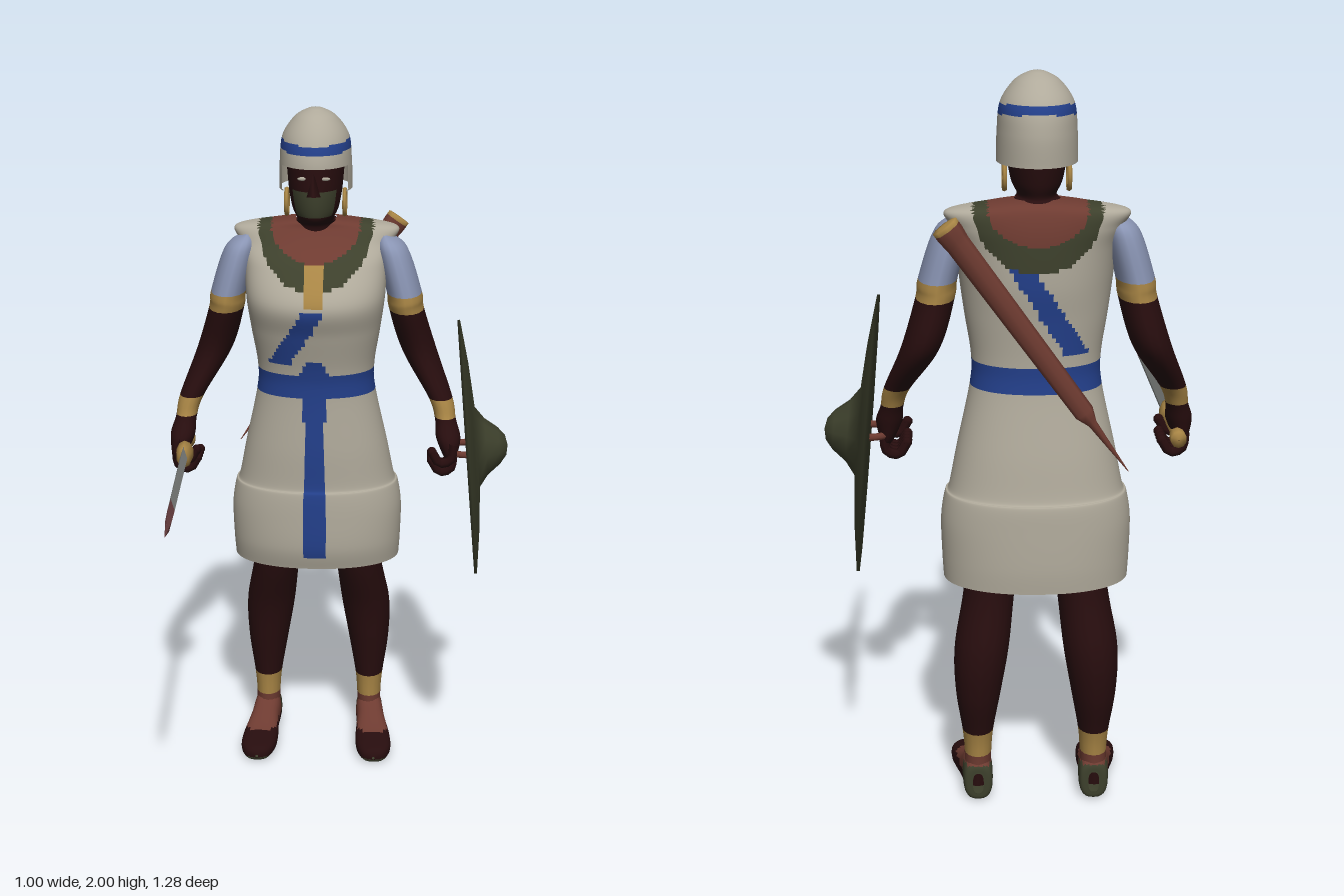
import * as THREE from 'three';

const mat = (name, color, side = THREE.FrontSide) => {
  const m = new THREE.MeshStandardMaterial({ color, side });
  m.name = name;
  return m;
};

// Smooth interpolation between neighbouring cross-sections
const blend = (a, b, c, d, t) =>
  0.5 * (2 * b + (c - a) * t + (2 * a - 5 * b + 4 * c - d) * t * t + (3 * b - a - 3 * c + d) * t * t * t);
const sp = (v, p) => Math.sign(v) * Math.abs(v) ** p;

// Loft of oval rings, rows are [y, cx, cz, rx, rz]; paint(x, y, z) picks a material, null leaves a hole
function loft(name, rows, paint, { seg = 32, sub = 8, pow = 1, linear = false } = {}) {
  const pos = [], buckets = new Map(), n = (rows.length - 1) * sub;
  const at = (i) => rows[Math.min(Math.max(i, 0), rows.length - 1)];
  for (let i = 0; i <= n; i++) {
    const k = Math.min(Math.floor(i / sub), rows.length - 2), t = i / sub - k;
    const [y, cx, cz, rx, rz] = at(k).map((v, c) =>
      linear ? v + (at(k + 1)[c] - v) * t : blend(at(k - 1)[c], v, at(k + 1)[c], at(k + 2)[c], t));
    for (let j = 0; j < seg; j++) {
      const a = (j / seg) * Math.PI * 2;
      pos.push(cx + rx * sp(Math.sin(a), pow), y, cz + rz * sp(Math.cos(a), pow));
    }
  }
  for (let i = 0; i < n; i++) for (let j = 0; j < seg; j++) {
    const a = i * seg + j, b = i * seg + (j + 1) % seg, c = b + seg, d = a + seg;
    const mid = [0, 1, 2].map((q) => (pos[a * 3 + q] + pos[b * 3 + q] + pos[c * 3 + q] + pos[d * 3 + q]) / 4);
    const m = paint(...mid);
    if (!m) continue;
    if (!buckets.has(m)) buckets.set(m, []);
    buckets.get(m).push(a, b, c, a, c, d);
  }
  const g = new THREE.BufferGeometry(), index = [], mats = [...buckets.keys()];
  mats.forEach((m, i) => {
    g.addGroup(index.length, buckets.get(m).length, i);
    index.push(...buckets.get(m));
  });
  g.setAttribute('position', new THREE.Float32BufferAttribute(pos, 3));
  g.setIndex(index);
  g.computeVertexNormals();
  const mesh = new THREE.Mesh(g, mats);
  mesh.name = name;
  return mesh;
}

export function createModel() {
  const D = THREE.DoubleSide;
  const cream = mat('cream cloth', 0xb0aa9b, D), blue = mat('blue cloth', 0x233f8a, D);
  const green = mat('olive green', 0x3d402c, D), skin = mat('dark skin', 0x270d0e);
  const brown = mat('red brown leather', 0x6e3b31), gold = mat('gold', 0xa88545);
  const pale = mat('pale blue sleeve', 0x8a95b4), steel = mat('steel', 0x8f9390);
  const red = mat('dull red blade tip', 0x7c4b4d);

  const model = new THREE.Group();
  const body = new THREE.Group();
  body.name = 'body';
  body.position.x = -0.07;
  model.add(body);
  const add = (parent, name, geo, m, x = 0, y = 0, z = 0) => {
    const mesh = new THREE.Mesh(geo, m);
    mesh.name = name;
    mesh.position.set(x, y, z);
    parent.add(mesh);
    return mesh;
  };

  // Tunic: [y, half width, front z, back z], painted with collar, belt and sashes
  const tunicRows = [
    [0.635, 0.25, -0.2, -0.53], [0.7, 0.254, -0.185, -0.533], [0.8, 0.256, -0.185, -0.53],
    [0.872, 0.245, -0.19, -0.525], [0.89, 0.234, -0.2, -0.512], [1.0, 0.212, -0.2, -0.495],
    [1.17, 0.176, -0.205, -0.465], [1.25, 0.173, -0.197, -0.462], [1.36, 0.19, -0.168, -0.47],
    [1.455, 0.203, -0.145, -0.48], [1.55, 0.21, -0.21, -0.48], [1.605, 0.225, -0.275, -0.475],
    [1.648, 0.237, -0.312, -0.462], [1.668, 0.13, -0.32, -0.445], [1.676, 0.06, -0.33, -0.42],
  ].map(([y, w, f, b]) => [y, 0, (f + b) / 2, w, (f - b) / 2]);
  body.add(loft('tunic', tunicRows, (x, y, z) => {
    const front = z > -0.33;
    if (front && Math.abs(x) < 0.028 && y > 1.46 && y < 1.565) return gold;
    if (Math.hypot(x / 0.13, (y - 1.66) / 0.095) < 1) return brown;
    if (Math.hypot(x / 0.168, (y - 1.66) / 0.165) < 1) return green;
    if (Math.abs(y - 1.205) < 0.039) return blue;
    if (front && Math.abs(x) < 0.042 - (y - 1.24) * 0.4 && y > 1.2 && y < 1.285) return blue;
    if (front && Math.abs(x) < 0.031 && y > 0.67 && y < 1.2) return blue;
    // diagonal sash from right hip towards left shoulder
    const across = (x + 0.05) * 0.85 - (y - 1.36) * 0.53;
    if (y > 1.27 && y < (front ? 1.44 : 1.52) && Math.abs(across) < 0.028) return blue;
    return cream;
  }, { seg: 112, sub: 9, pow: 0.92 }));

  // Head and neck
  body.add(loft('head', [
    [1.6, 0, -0.38, 0.08, 0.07], [1.665, 0, -0.372, 0.066, 0.068], [1.682, 0, -0.335, 0.052, 0.095],
    [1.72, 0, -0.332, 0.068, 0.112], [1.8, 0, -0.337, 0.08, 0.12], [1.9, 0, -0.345, 0.08, 0.11],
    [1.94, 0, -0.345, 0.02, 0.03],
  ], (x, y, z) => (z > -0.262 && y > 1.7 && y < 1.775 ? green : skin), { seg: 40 }));
  const nose = add(body, 'nose', new THREE.ConeGeometry(0.02, 0.07, 4), skin, 0, 1.8, -0.216);
  nose.rotation.x = -0.15;
  for (const s of [-1, 1]) {
    add(body, 'eye', new THREE.SphereGeometry(0.011, 8, 6).scale(1.3, 0.5, 0.4), cream, s * 0.033, 1.815, -0.226);
    const ring = add(body, 'earring', new THREE.TorusGeometry(0.036, 0.007, 6, 16), gold, s * 0.084, 1.728, -0.337);
    ring.rotation.y = Math.PI / 2;
  }

  // Helmet with a face opening and a blue band
  body.add(loft('helmet', [
    [1.77, 0, -0.35, 0.106, 0.134], [1.85, 0, -0.348, 0.104, 0.137], [1.92, 0, -0.35, 0.096, 0.118],
    [1.972, 0, -0.346, 0.062, 0.074], [1.995, 0, -0.345, 0.025, 0.03], [2.0, 0, -0.345, 0.001, 0.001],
  ], (x, y, z) => {
    if (z > -0.285 && y < 1.84) return null;
    return Math.abs(y - 1.904 - (-0.35 - z) * 0.09) < 0.013 ? blue : cream;
  }, { seg: 56, sub: 12 }));

  for (const s of [-1, 1]) {
    const side = s > 0 ? 'left' : 'right';
    // Arm with sleeve, arm band and bracelet
    body.add(loft(side + 'Arm', [
      [1.63, s * 0.2, -0.36, 0.01, 0.03], [1.59, s * 0.222, -0.357, 0.045, 0.078],
      [1.46, s * 0.259, -0.352, 0.052, 0.094], [1.41, s * 0.266, -0.355, 0.052, 0.093],
      [1.28, s * 0.305, -0.375, 0.052, 0.082], [1.15, s * 0.37, -0.31, 0.036, 0.048],
      [1.09, s * 0.386, -0.285, 0.031, 0.042], [1.04, s * 0.395, -0.255, 0.036, 0.058],
      [0.985, s * 0.402, -0.245, 0.018, 0.05], [0.97, s * 0.402, -0.245, 0.002, 0.01],
    ].reverse(), (x, y) => {
      if (y > 1.46) return pale;
      return y > 1.41 || (y > 1.095 && y < 1.145) ? gold : skin;
    }, { seg: 16 }));
    // Curled fingers and thumb
    for (let i = 0; i < 5; i++) {
      const z = i < 4 ? -0.285 + i * 0.027 : -0.19, lift = i < 4 ? 0 : 0.03;
      const path = new THREE.CatmullRomCurve3([[0.41, 1.01], [0.402, 0.962], [0.37, 0.952], [0.347, 0.985]]
        .map(([x, y]) => new THREE.Vector3(s * x, y + lift, z)));
      add(body, side + 'Finger', new THREE.TubeGeometry(path, 8, 0.0145, 6), skin);
      add(body, side + 'Fingertip', new THREE.SphereGeometry(0.0145, 6, 5), skin, s * 0.347, 0.985 + lift, z);
    }
    // Leg with ankle band
    body.add(loft(side + 'Leg', [
      [0.04, s * 0.162, -0.425, 0.036, 0.046], [0.13, s * 0.16, -0.425, 0.037, 0.048],
      [0.2, s * 0.16, -0.428, 0.043, 0.055], [0.32, s * 0.158, -0.437, 0.062, 0.078],
      [0.45, s * 0.148, -0.43, 0.074, 0.09], [0.62, s * 0.124, -0.385, 0.07, 0.094],
      [0.85, s * 0.1, -0.37, 0.085, 0.1],
    ], (x, y) => (y > 0.13 && y < 0.2 ? gold : y > 0.09 && y < 0.13 ? brown : skin), { seg: 16 }));
    // Shoe, lofted from heel to toe and laid forward
    const shoe = loft(side + 'Shoe', [
      [-0.476, s * 0.16, -0.05, 0.015, 0.03], [-0.468, s * 0.16, -0.054, 0.038, 0.054],
      [-0.41, s * 0.162, -0.062, 0.042, 0.062], [-0.36, s * 0.168, -0.05, 0.044, 0.05],
      [-0.28, s * 0.176, -0.033, 0.054, 0.033], [-0.22, s * 0.18, -0.026, 0.052, 0.026],
      [-0.18, s * 0.181, -0.02, 0.034, 0.02], [-0.168, s * 0.181, -0.018, 0.004, 0.004],
    ], (x, y, z) => {
      if (z > -0.012 || (y < -0.42 && z > -0.1)) return green;
      return z < -0.06 || (y < -0.3 && Math.abs(x - s * 0.17) < 0.022) ? brown : skin;
    }, { seg: 24, pow: 0.75 });
    shoe.geometry.rotateX(Math.PI / 2);
    body.add(shoe);
  }

  // Long objects are lofted along y, laid forward, then aimed at a target
  const aimed = (name, from, to, parts) => {
    const g = new THREE.Group();
    g.name = name;
    parts.forEach((p) => { p.geometry.rotateX(Math.PI / 2); g.add(p); });
    g.position.set(...from);
    g.lookAt(...to);
    model.add(g);
  };
  // Sword
  const blade = loft('blade', [
    [0, 0, 0, 0.011, 0.034], [0.525, 0, 0, 0.01, 0.033], [0.61, 0, 0, 0.009, 0.032], [0.757, 0, 0, 0.0005, 0.0005],
  ], (x, y) => (y > 0.525 ? red : steel), { seg: 4, sub: 1, linear: true });
  blade.geometry = blade.geometry.toNonIndexed();
  blade.geometry.computeVertexNormals();
  aimed('sword', [-0.447, 1.015, -0.11], [-0.41, 1.06, 0.645], [
    blade,
    loft('hilt', [
      [-0.23, 0, 0, 0.001, 0.001], [-0.228, 0, 0, 0.022, 0.024], [-0.195, 0, 0, 0.022, 0.024],
      [-0.18, 0, 0, 0.014, 0.015], [-0.085, 0, 0, 0.016, 0.018], [-0.06, 0, 0, 0.026, 0.036],
      [-0.02, 0, 0, 0.024, 0.036], [0.006, 0, 0, 0.016, 0.03], [0.007, 0, 0, 0.001, 0.001],
    ], () => gold, { seg: 10, sub: 1, linear: true }),
  ]);

  // Scabbard across the back
  aimed('scabbard', [0.17, 1.64, -0.548], [-0.21, 1.1, -0.48], [
    loft('sheath', [
      [-0.002, 0, 0, 0.001, 0.001], [0, 0, 0, 0.024, 0.036], [0.025, 0, 0, 0.024, 0.036],
      [0.06, 0, 0, 0.02, 0.032], [0.63, 0, 0, 0.018, 0.027], [0.67, 0, 0, 0.01, 0.012],
      [0.84, 0, 0, 0.001, 0.001],
    ], (x, y) => (y < 0.014 ? gold : brown), { seg: 8, sub: 2, linear: true }),
  ]);

  // Ten-sided shield with a central boss, tipped slightly upward
  const profile = [[0, -0.008], [0.38, -0.008], [0.38, 0], [0.25, 0.016], [0.12, 0.026], [0.085, 0.052],
    [0.055, 0.09], [0.03, 0.11], [0, 0.116]].map(([r, h]) => new THREE.Vector2(r, h));
  const disc = new THREE.LatheGeometry(profile, 10);
  disc.rotateY(0.1).rotateZ(-Math.PI / 2 + 0.085);
  add(model, 'shield', disc, green, 0.386, 1.008, -0.259);
  const strap = add(model, 'shieldGrip', new THREE.TorusGeometry(0.06, 0.01, 6, 12, Math.PI), brown, 0.378, 1.008, -0.25);
  strap.rotation.set(-Math.PI / 2, 0, Math.PI / 2);

  return model;
}
